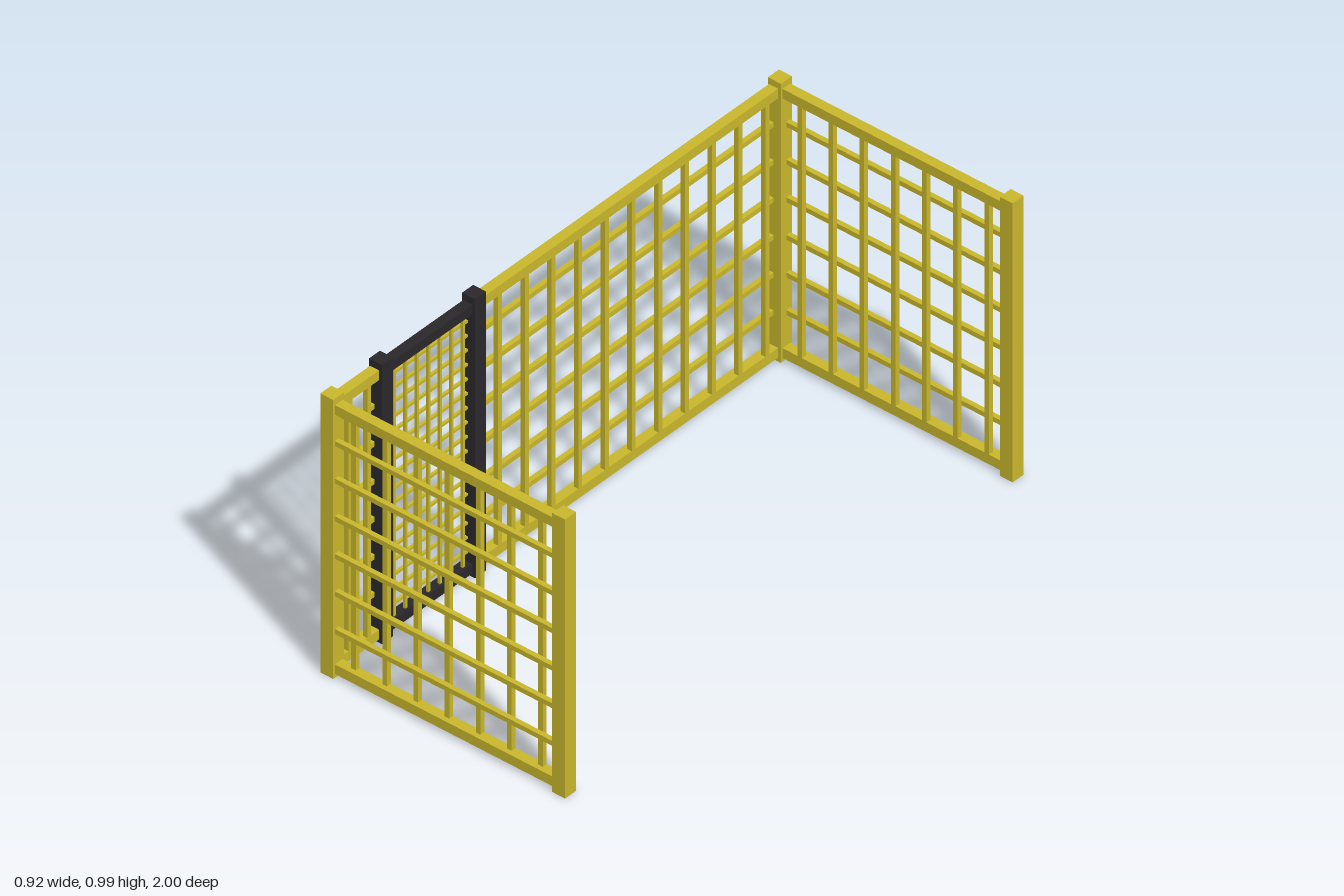
import * as THREE from 'three';

const yellow = new THREE.MeshStandardMaterial({ color: 0xc9b82c });
yellow.name = 'mustard yellow';
const black = new THREE.MeshStandardMaterial({ color: 0x2a282b });
black.name = 'charcoal';

const POST = 0.048, HEIGHT = 0.99;
const RAIL = 0.034, RAIL_LOW = 0.031, RAIL_HIGH = 0.951;
const BAR = 0.017;

function box(parent, name, mat, w, h, d, x, y, z) {
  const mesh = new THREE.Mesh(new THREE.BoxGeometry(w, h, d), mat);
  mesh.name = name;
  mesh.position.set(x, y, z);
  parent.add(mesh);
}

// evenly spaced values from a to b
const spread = (a, b, n) => Array.from({ length: n }, (_, i) => a + (b - a) * i / (n - 1));

// Lattice panel along local x, outer side facing local +z:
// horizontal bars lie on the outer half, upright bars on the inner half
function panel(name, x0, x1, uprights, heights, bar, railMat) {
  const g = new THREE.Group();
  g.name = name;
  const len = x1 - x0, mid = (x0 + x1) / 2;
  for (const y of [RAIL_LOW, RAIL_HIGH]) box(g, 'rail', railMat, len, RAIL, RAIL, mid, y, 0);
  for (const y of heights) box(g, 'crossBar', yellow, len, bar, bar, mid, y, bar / 2);
  for (const x of uprights)
    box(g, 'uprightBar', yellow, bar, RAIL_HIGH - RAIL_LOW, bar, x, (RAIL_LOW + RAIL_HIGH) / 2, -bar / 2);
  return g;
}

export function createModel() {
  const model = new THREE.Group();
  model.name = 'latticeFence';
  const heights = spread(0.165, 0.832, 6);
  const sideX = -0.427, endZ = 0.975, freeX = 0.436;

  // corner and end posts
  for (const z of [endZ, -endZ]) {
    box(model, 'cornerPost', yellow, POST, HEIGHT, POST, sideX, HEIGHT / 2, z);
    box(model, 'endPost', yellow, POST, HEIGHT, POST, freeX, HEIGHT / 2, z);
  }

  // front and back wings
  const front = panel('frontPanel', -0.403, 0.412, spread(-0.348, 0.348, 7), heights, BAR, yellow);
  front.position.z = endZ;
  const back = panel('backPanel', -0.412, 0.403, spread(-0.357, 0.339, 7), heights, BAR, yellow);
  back.rotation.y = Math.PI;
  back.position.z = -endZ;
  model.add(front, back);

  // side run: long panel, door, short panel (local x becomes z, outer side faces -x)
  const side = new THREE.Group();
  side.name = 'sideRun';
  side.rotation.y = -Math.PI / 2;
  side.position.x = -0.43;
  side.add(
    panel('longPanel', -0.951, 0.334, spread(-0.904, 0.26, 11), heights, BAR, yellow),
    panel('shortPanel', 0.786, 0.951, [0.83, 0.912], heights, BAR, yellow),
    panel('doorPanel', 0.38, 0.74, spread(0.409, 0.709, 7), spread(0.082, 0.9, 17), 0.009, black)
  );
  model.add(side);

  // door posts
  for (const z of [0.357, 0.763])
    box(model, 'doorPost', black, POST, HEIGHT, POST, sideX, HEIGHT / 2 + 0.002, z);

  // door handle
  box(model, 'handleStem', black, 0.012, 0.012, 0.024, -0.456, 0.538, 0.763);
  box(model, 'handlePlate', black, 0.006, 0.05, 0.02, -0.454, 0.514, 0.763);
  return model;
}
